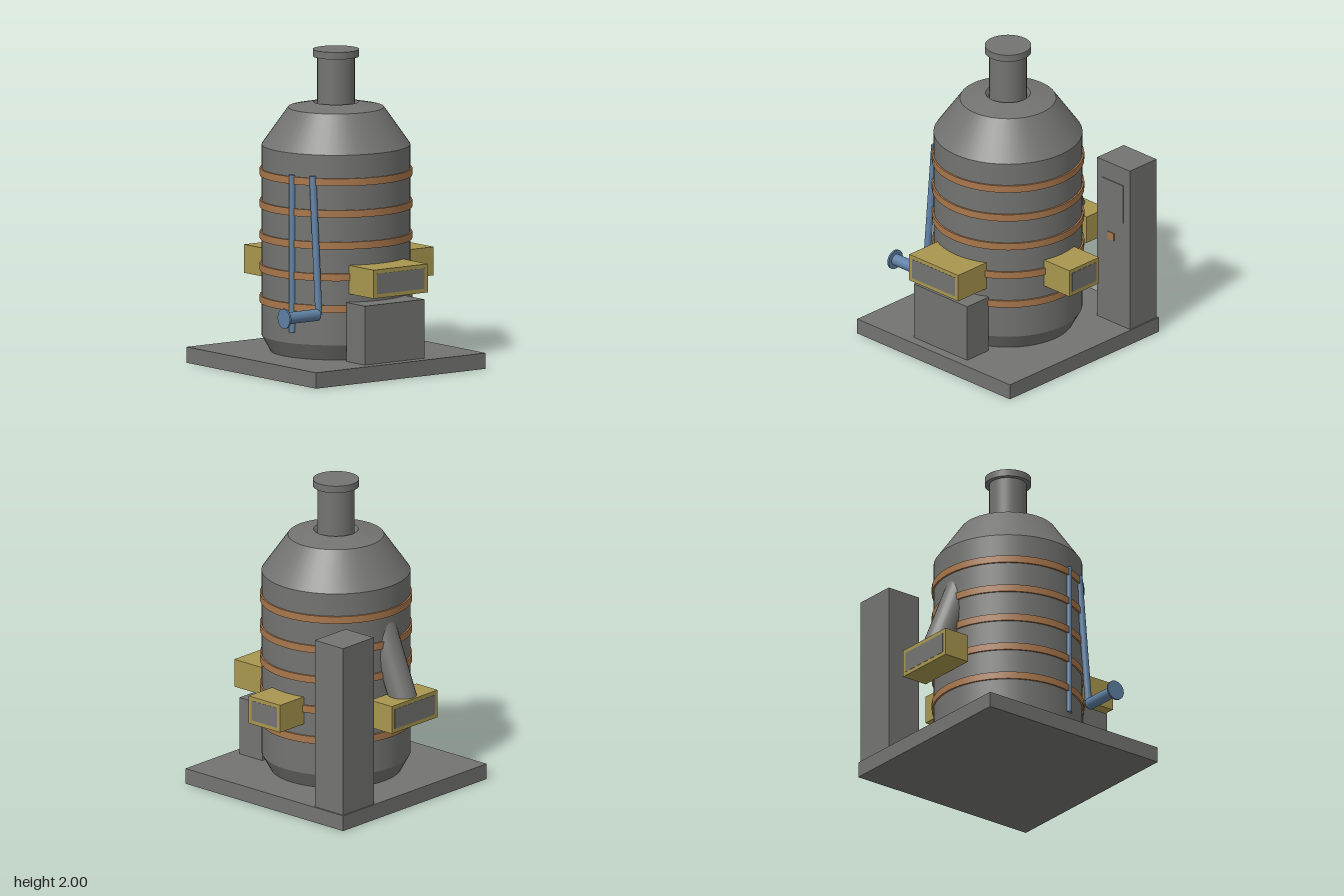
import * as THREE from 'three';

const mat = (name, color) => Object.assign(new THREE.MeshStandardMaterial({ color }), { name });

export function createModel() {
  const steel = mat('grey steel', 0x737371);
  const yellow = mat('yellow paint', 0xa8964f);
  const copper = mat('copper band', 0xa9774c);
  const blue = mat('blue pipe', 0x5f80a4);
  const model = new THREE.Group();
  model.name = 'processTank';

  const add = (name, geometry, material) => {
    const mesh = new THREE.Mesh(geometry, material);
    mesh.name = name;
    model.add(mesh);
    return mesh;
  };
  // Box given by its limits on each axis
  const box = (name, material, [x0, x1], [y0, y1], [z0, z1]) =>
    add(name, new THREE.BoxGeometry(x1 - x0, y1 - y0, z1 - z0), material)
      .position.set((x0 + x1) / 2, (y0 + y1) / 2, (z0 + z1) / 2);
  // Upright ring or frustum
  const drum = (name, material, rBottom, rTop, y0, y1, open = false) =>
    add(name, new THREE.CylinderGeometry(rTop, rBottom, y1 - y0, 48, 1, open), material)
      .position.set(0, (y0 + y1) / 2, 0);
  // Straight pipe between two points
  const pipe = (name, material, a, b, r) => {
    const from = new THREE.Vector3(...a), to = new THREE.Vector3(...b);
    const dir = to.clone().sub(from);
    const mesh = add(name, new THREE.CylinderGeometry(r, r, dir.length(), 24), material);
    mesh.position.copy(from).add(to).multiplyScalar(0.5);
    mesh.quaternion.setFromUnitVectors(new THREE.Vector3(0, 1, 0), dir.normalize());
  };

  box('basePlate', steel, [-0.665, 0.665], [0, 0.1], [-0.665, 0.665]);

  // Tank shell, one section per crease
  const profile = [[0.41, 0.1], [0.465, 0.2], [0.465, 1.4], [0.3, 1.635], [0.14, 1.668], [0.117, 1.64]];
  for (let i = 0; i < profile.length - 1; i++) {
    const [r0, y0] = profile[i], [r1, y1] = profile[i + 1];
    if (y1 > y0) drum('tankSection', steel, r0, r1, y0, y1, true);
    else { // recessed seat around the neck
      const seat = [new THREE.Vector2(r1, y1), new THREE.Vector2(r0, y0)];
      add('neckSeat', new THREE.LatheGeometry(seat.reverse(), 48), steel);
    }
  }
  drum('neck', steel, 0.117, 0.117, 1.62, 1.96);
  drum('neckCap', steel, 0.145, 0.145, 1.955, 2);
  for (let i = 0; i < 5; i++) drum('tankBand', copper, 0.476, 0.476, 0.407 + i * 0.2, 0.453 + i * 0.2);

  // Front plinth and the three yellow hatches with inset grey panels
  box('frontPlinth', steel, [-0.233, 0.232], [0.1, 0.472], [0.41, 0.603]);
  const hy = [0.525, 0.705], py = [0.55, 0.68];
  box('frontHatch', yellow, [-0.213, 0.213], hy, [0.4, 0.664]);
  box('frontHatchPanel', steel, [-0.187, 0.187], py, [0.66, 0.6655]);
  box('backHatch', yellow, [-0.213, 0.213], hy, [-0.664, -0.485]);
  box('backHatchPanel', steel, [-0.187, 0.187], py, [-0.6655, -0.66]);
  box('sideHatch', yellow, [0.44, 0.664], hy, [-0.133, 0.133]);
  box('sideHatchPanel', steel, [0.66, 0.6655], py, [-0.107, 0.107]);

  // Sloping chute from the back hatch into the tank
  pipe('backChute', steel, [0, 0.66, -0.575], [0, 1.16, -0.37], 0.088);

  // Control cabinet
  box('cabinet', steel, [0.37, 0.655], [0.1, 1.2], [-0.655, -0.417]);
  box('cabinetPanel', steel, [0.415, 0.6], [0.82, 1.08], [-0.418, -0.411]);
  box('cabinetSwitch', copper, [0.465, 0.52], [0.67, 0.72], [-0.418, -0.411]);

  // Blue pipework
  pipe('inletPipe', blue, [-0.66, 0.4, 0.333], [-0.4, 0.4, 0.333], 0.037);
  pipe('inletFlange', blue, [-0.665, 0.4, 0.333], [-0.653, 0.4, 0.333], 0.063);
  pipe('riserPipe', blue, [-0.39, 0.4, 0.333], [-0.383, 1.265, 0.262], 0.022);
  pipe('gaugePipe', blue, [-0.444, 0.27, 0.134], [-0.444, 1.265, 0.134], 0.021);

  return model;
}
